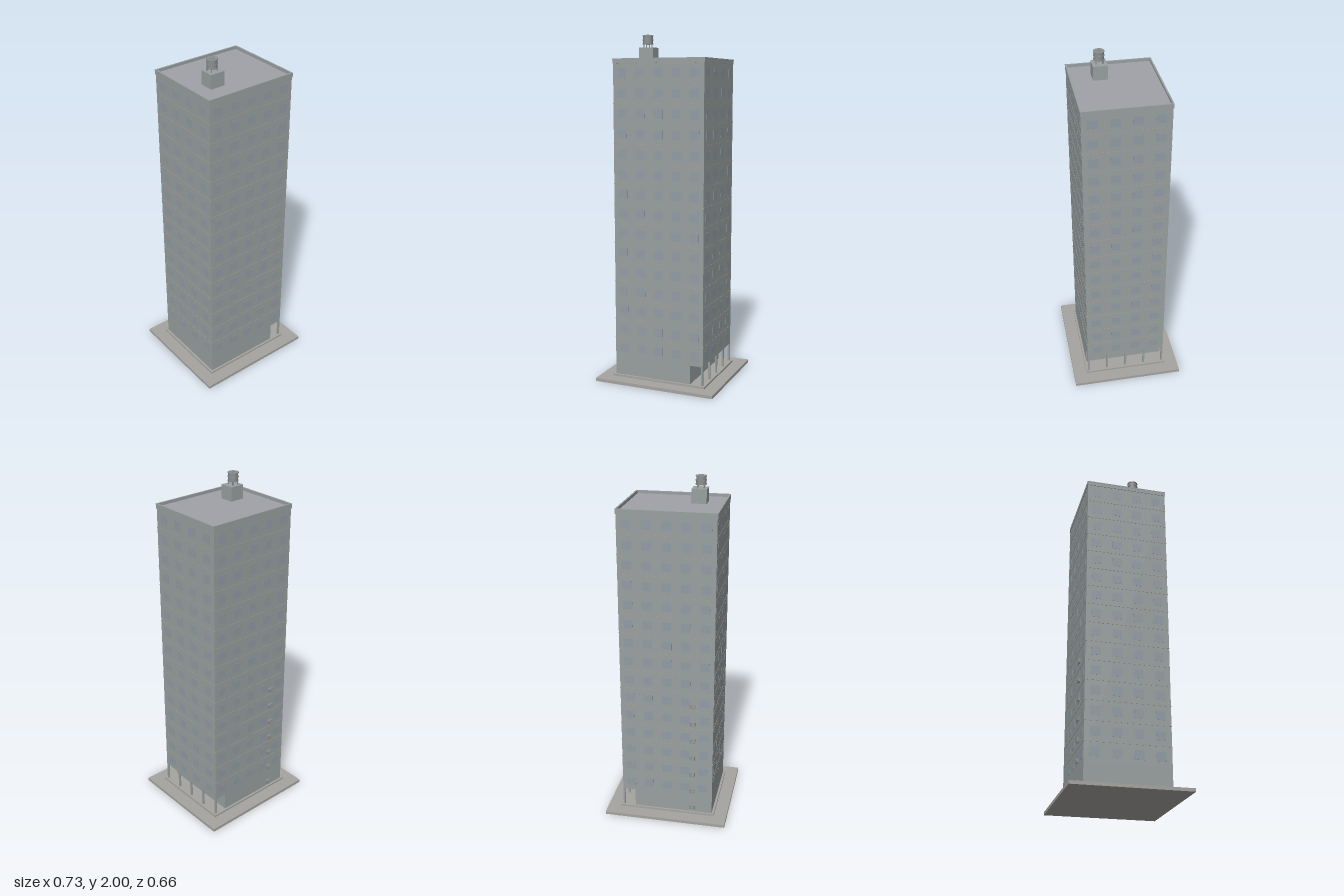
import * as THREE from 'three';

const mat = (color) => new THREE.MeshStandardMaterial({ color });
const wallMat = mat(0x99a0a0), glassMat = mat(0x929ca4), bandMat = mat(0xa09e99);
const stoneMat = mat(0xa6a49f), roofMat = mat(0xa0a0a8), metalMat = mat(0x8c8f90);

// Half width, half depth and floor levels of the tower
const W = 0.273, D = 0.238, GROUND = 0.03, FIRST = 0.14, FLOOR = 0.1135, FLOORS = 15, ROOF = 1.848, TOP = 1.865;
const RECESS = 0.197;

function add(parent, name, geometry, material, x = 0, y = 0, z = 0) {
  const mesh = new THREE.Mesh(geometry, material);
  mesh.name = name;
  mesh.position.set(x, y, z);
  parent.add(mesh);
  return mesh;
}

// Box given by its limits on each axis
function block(parent, name, material, x0, x1, y0, y1, z0, z1) {
  return add(parent, name, new THREE.BoxGeometry(x1 - x0, y1 - y0, z1 - z0), material,
    (x0 + x1) / 2, (y0 + y1) / 2, (z0 + z1) / 2);
}

// Rectangular ring, open in the middle
function ring(parent, name, material, hw, hd, t, y0, y1) {
  const rect = (path, w, d) => path.moveTo(-w, -d).lineTo(w, -d).lineTo(w, d).lineTo(-w, d).closePath();
  const shape = new THREE.Shape();
  rect(shape, hw, hd);
  const hole = new THREE.Path();
  rect(hole, hw - t, hd - t);
  shape.holes.push(hole);
  const geometry = new THREE.ExtrudeGeometry(shape, { depth: y1 - y0, bevelEnabled: false });
  geometry.rotateX(-Math.PI / 2);
  return add(parent, name, geometry, material, 0, y0, 0);
}

// Row of windows facing +z, turned to the wanted side
function windowRow(parent, count, halfSpan, distance, y, angle) {
  const row = new THREE.Group();
  row.name = 'windowRow';
  const pitch = (2 * halfSpan) / count;
  for (let i = 0; i < count; i++) {
    add(row, 'window', new THREE.BoxGeometry(0.054, 0.05, 0.002), glassMat, -halfSpan + pitch * (i + 0.5), y, distance);
  }
  row.rotation.y = angle;
  parent.add(row);
}

function airConditioner() {
  const unit = new THREE.Group();
  unit.name = 'airConditioner';
  add(unit, 'casing', new THREE.BoxGeometry(0.032, 0.022, 0.012), metalMat, 0, 0, -0.009);
  const fan = add(unit, 'fan', new THREE.CylinderGeometry(0.008, 0.008, 0.002, 14), bandMat, -0.004, 0, -0.0155);
  fan.rotation.x = Math.PI / 2;
  for (const x of [-0.011, 0.011]) {
    add(unit, 'bracket', new THREE.BoxGeometry(0.002, 0.003, 0.015), metalMat, x, -0.0125, -0.0075);
  }
  return unit;
}

export function createModel() {
  const model = new THREE.Group();
  model.name = 'towerBlock';

  // Pavement and plinth
  block(model, 'pavement', stoneMat, -0.363, 0.363, 0, 0.018, -0.328, 0.328);
  block(model, 'plinth', stoneMat, -0.287, 0.287, 0.018, GROUND, -0.25, 0.25);

  // Ground floor set back on one side, with columns below the overhang
  block(model, 'groundFloor', wallMat, -W, RECESS, GROUND, FIRST, -D, D);
  for (let i = 0; i < 5; i++) {
    add(model, 'column', new THREE.BoxGeometry(0.011, FIRST - GROUND, 0.011), wallMat,
      W - 0.0055, (FIRST + GROUND) / 2, (i / 4 - 0.5) * 2 * (D - 0.0055));
  }

  // Main shaft with floor bands and windows
  block(model, 'shaft', wallMat, -W, W, FIRST, ROOF - 0.004, -D, D);
  for (let i = 0; i < FLOORS; i++) {
    const y = FIRST + i * FLOOR;
    if (i > 0) ring(model, 'floorBand', bandMat, W + 0.0015, D + 0.0015, 0.004, y - 0.002, y + 0.002);
    const wy = y + FLOOR / 2;
    windowRow(model, 5, W, D, wy, 0);
    windowRow(model, 5, W, D, wy, Math.PI);
    windowRow(model, 4, D, W, wy, Math.PI / 2);
    windowRow(model, 4, D, W, wy, -Math.PI / 2);
  }

  // Roof deck and parapet
  block(model, 'roofDeck', roofMat, -W, W, ROOF - 0.004, ROOF, -D, D);
  ring(model, 'parapet', wallMat, W, D, 0.005, ROOF, TOP - 0.003);
  ring(model, 'parapetCap', wallMat, W + 0.004, D + 0.003, 0.009, TOP - 0.006, TOP);
  ring(model, 'cornice', wallMat, W + 0.003, D + 0.003, 0.005, 1.838, TOP - 0.006);

  // Air conditioners up the back wall
  for (let i = 0; i < 7; i++) {
    const unit = airConditioner();
    unit.position.set(-0.153, 0.066 + i * 0.113, -D);
    model.add(unit);
  }

  // Stair house with the water tank
  const tank = new THREE.Group();
  tank.name = 'waterTank';
  tank.position.set(-0.132, 0, 0.075);
  block(model, 'stairHouse', wallMat, -0.17, -0.084, ROOF, 1.928, 0.034, 0.115);
  for (let i = 0; i < 4; i++) {
    const a = Math.PI / 4 + (i * Math.PI) / 2;
    add(tank, 'tankLeg', new THREE.CylinderGeometry(0.003, 0.003, 0.022, 8), metalMat,
      0.025 * Math.cos(a), 1.938, 0.025 * Math.sin(a));
  }
  add(tank, 'tankBody', new THREE.CylinderGeometry(0.028, 0.028, 0.05, 24), metalMat, 0, 1.971, 0);
  for (const y of [1.949, 1.972, 1.994]) {
    add(tank, 'tankHoop', new THREE.CylinderGeometry(0.031, 0.031, 0.005, 24), metalMat, 0, y, 0);
  }
  add(tank, 'tankHatch', new THREE.CylinderGeometry(0.01, 0.01, 0.006, 16), metalMat, 0, 1.997, 0);
  model.add(tank);

  return model;
}
